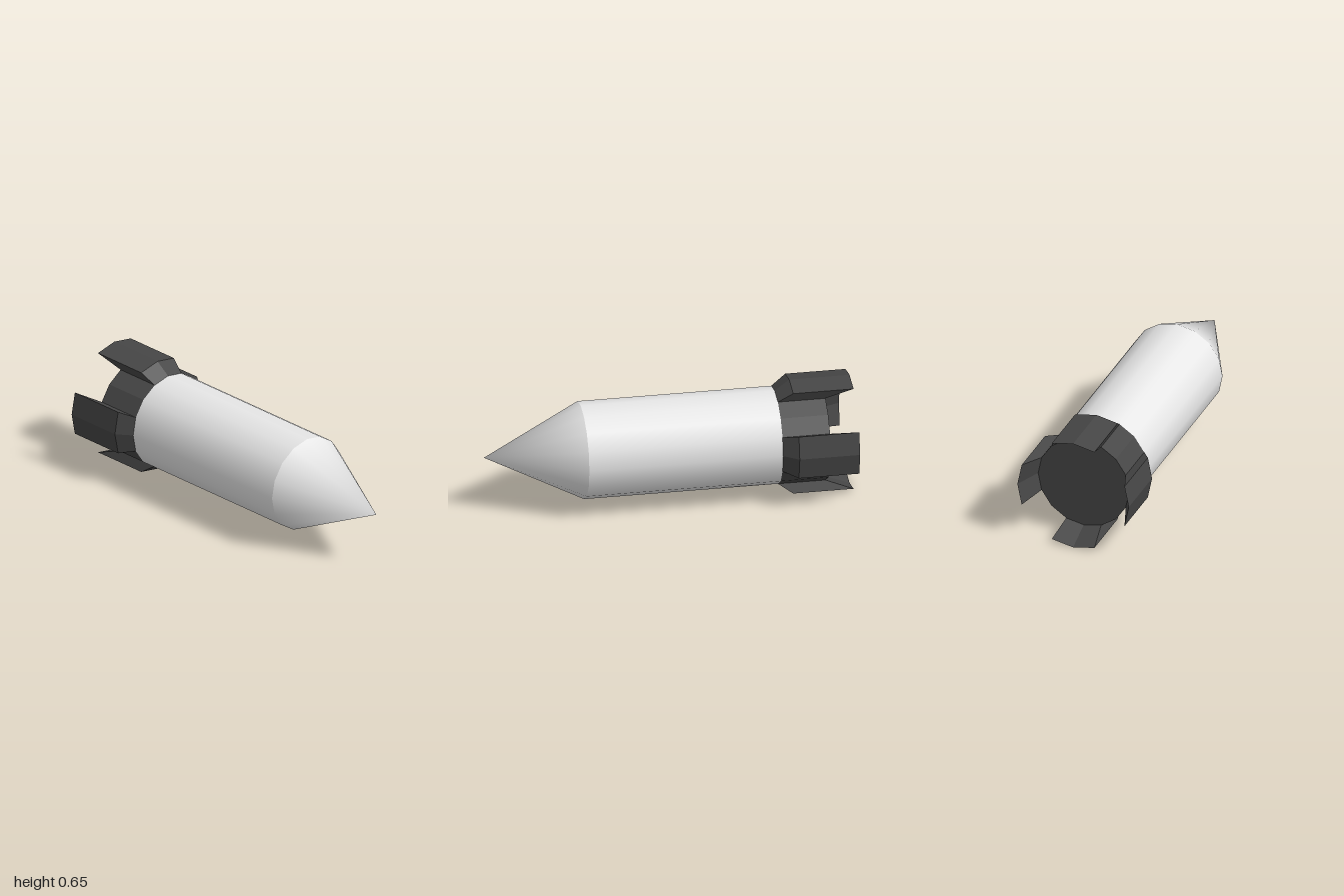
import * as THREE from 'three';
import { mergeVertices } from 'three/addons/utils/BufferGeometryUtils.js';

const SIDES = 16, RADIUS = 0.265, FLARE = 0.324, AXIS_Y = 0.324;
const TAIL_END = -0.85, BODY_START = -0.59, BODY_END = 0.47, TIP = 1;

const hullPaint = new THREE.MeshStandardMaterial({ color: 0xe7e7e7 });
hullPaint.name = 'light grey hull';
const tailPaint = new THREE.MeshStandardMaterial({ color: 0x464646 });
tailPaint.name = 'dark grey tail';

// Tube or cone lying along x between two stations
function section(x0, x1, r0, r1, open) {
  const g = new THREE.CylinderGeometry(r1, r0, x1 - x0, SIDES, 1, open);
  g.rotateZ(-Math.PI / 2);
  g.translate((x0 + x1) / 2, 0, 0);
  return g;
}

function flat(g) {
  const out = g.index ? g.toNonIndexed() : g;
  out.computeVertexNormals();
  return out;
}

// Cone with normals shared around its tip
function noseGeometry() {
  const cone = section(BODY_END, TIP, RADIUS, 0, true);
  cone.deleteAttribute('normal');
  cone.deleteAttribute('uv');
  const g = mergeVertices(cone);
  g.computeVertexNormals();
  return g;
}

// Swept-back fin: a slanted profile carried across two hull facets
function finGeometry() {
  const profile = [[BODY_START, RADIUS], [-0.67, FLARE], [-1, FLARE], [TAIL_END, RADIUS]];
  const step = (Math.PI * 2) / SIDES;
  const positions = [], index = [];
  for (let i = -1; i <= 1; i++) {
    for (const [x, r] of profile) positions.push(x, r * Math.cos(i * step), r * Math.sin(i * step));
  }
  for (let i = 0; i < 2; i++) {
    for (let k = 0; k < 3; k++) {
      const a = i * 4 + k, b = a + 4;
      index.push(a, a + 1, b + 1, a, b + 1, b);
    }
  }
  index.push(0, 2, 1, 0, 3, 2, 8, 9, 10, 8, 10, 11); // side faces
  const g = new THREE.BufferGeometry();
  g.setAttribute('position', new THREE.Float32BufferAttribute(positions, 3));
  g.setIndex(index);
  return flat(g);
}

export function createModel() {
  const rocket = new THREE.Group();
  rocket.name = 'rocket';
  const add = (name, geometry, material) => {
    const mesh = new THREE.Mesh(geometry, material);
    mesh.name = name;
    mesh.position.y = AXIS_Y;
    rocket.add(mesh);
    return mesh;
  };

  add('body', section(BODY_START, BODY_END, RADIUS, RADIUS, true), hullPaint);
  add('noseCone', noseGeometry(), hullPaint);
  add('tailSection', flat(section(TAIL_END, BODY_START, RADIUS, RADIUS, false)), tailPaint);

  // Four fins at quarter turns
  const fin = finGeometry();
  ['topFin', 'frontFin', 'bottomFin', 'backFin'].forEach((name, i) => {
    add(name, fin, tailPaint).rotation.x = (i * Math.PI) / 2;
  });
  return rocket;
}
